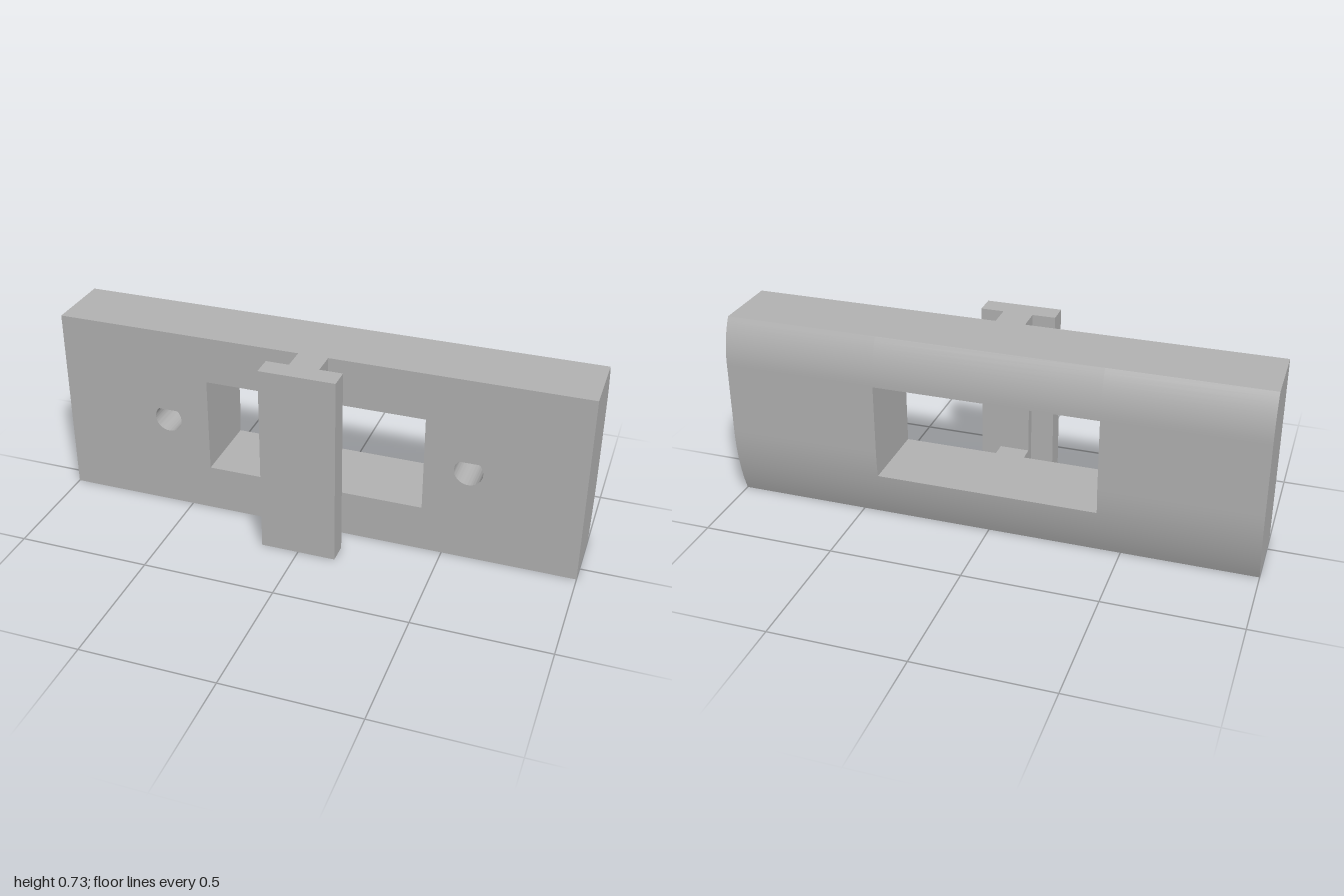
import * as THREE from 'three';
import { mergeGeometries, toCreasedNormals } from 'three/addons/utils/BufferGeometryUtils.js';

const H = 0.73, FRONT = 0.067, BACK = -0.24;
const WIN = { x: 0.418, y0: 0.18, y1: 0.55 };
const SOCKET = { x: 0.582, y: 0.366, r: 0.053, floor: -0.13 };

// Builds a geometry from convex faces, each a counter-clockwise list of corners
function facesGeometry(faces) {
  const pos = [];
  for (const f of faces)
    for (let i = 1; i < f.length - 1; i++) pos.push(...f[0], ...f[i], ...f[i + 1]);
  const g = new THREE.BufferGeometry();
  g.setAttribute('position', new THREE.Float32BufferAttribute(pos, 3));
  g.computeVertexNormals();
  return toCreasedNormals(g, 0.5);
}

// Teardrop outline: a circle with a 45 degree peak
function teardrop(Type, cx) {
  const { y, r } = SOCKET;
  const path = new Type();
  path.moveTo(cx, y + r * Math.SQRT2);
  path.absarc(cx, y, r, Math.PI * 0.75, Math.PI * 2.25, false);
  path.closePath();
  return path;
}

// Depth of the rounded back at a given height
function backZ(y) {
  if (y < 0.28) return BACK + 0.78 - Math.sqrt(0.78 ** 2 - (0.28 - y) ** 2);
  if (y > 0.56) return BACK + 0.344 - Math.sqrt(0.344 ** 2 - (y - 0.56) ** 2);
  return BACK;
}

export function createModel() {
  const model = new THREE.Group();
  const grey = new THREE.MeshStandardMaterial({ color: 0xb2b2b2 });
  grey.name = 'lightGrey';
  const add = (name, geometry) => {
    const mesh = new THREE.Mesh(geometry, grey);
    mesh.name = name;
    model.add(mesh);
  };

  // Heights at which the back is sampled, including the window edges
  const ys = [];
  for (let i = 0; i <= 14; i++) ys.push(i * 0.02);
  ys.push(WIN.y1);
  for (let i = 0; i <= 10; i++) ys.push(0.56 + i * 0.017);
  const inWindow = y => y > WIN.y0 - 1e-6 && y < WIN.y1 + 1e-6;

  // Body: rounded back, ends, top, bottom and window walls
  const faces = [];
  const cols = [-1, -WIN.x, WIN.x, 1];
  for (let i = 0; i < ys.length - 1; i++) {
    const a = ys[i], b = ys[i + 1];
    for (let c = 0; c < 3; c++) {
      if (c === 1 && inWindow(a) && inWindow(b)) continue;
      faces.push([[cols[c + 1], a, backZ(a)], [cols[c], a, backZ(a)],
        [cols[c], b, backZ(b)], [cols[c + 1], b, backZ(b)]]);
    }
  }
  const section = (x, list) => [[x, list[0], FRONT],
    ...list.map(y => [x, y, backZ(y)]), [x, list[list.length - 1], FRONT]];
  const deck = (w, y) => [[-w, y, FRONT], [w, y, FRONT], [w, y, backZ(y)], [-w, y, backZ(y)]];
  const winYs = ys.filter(inWindow);
  faces.push(
    section(1, ys), section(-1, ys).reverse(),
    deck(1, H), deck(1, 0).reverse(),
    section(-WIN.x, winYs), section(WIN.x, winYs).reverse(),
    deck(WIN.x, WIN.y0), deck(WIN.x, WIN.y1).reverse());
  add('body', facesGeometry(faces));

  // Front face with the window and two teardrop openings
  const front = new THREE.Shape([[-1, 0], [1, 0], [1, H], [-1, H]].map(p => new THREE.Vector2(...p)));
  front.holes.push(new THREE.Path([[-WIN.x, WIN.y0], [-WIN.x, WIN.y1], [WIN.x, WIN.y1], [WIN.x, WIN.y0]]
    .map(p => new THREE.Vector2(...p))));
  for (const s of [-1, 1]) front.holes.push(teardrop(THREE.Path, s * SOCKET.x));
  add('frontFace', new THREE.ShapeGeometry(front, 32).translate(0, 0, FRONT));

  // Blind teardrop sockets
  for (const s of [-1, 1]) {
    const outline = teardrop(THREE.Shape, s * SOCKET.x);
    const pts = outline.getPoints(32);
    const walls = [];
    for (let i = 0; i < pts.length - 1; i++) {
      const a = pts[i], b = pts[i + 1];
      if (a.distanceTo(b) < 1e-6) continue;
      walls.push([[a.x, a.y, FRONT], [b.x, b.y, FRONT],
        [b.x, b.y, SOCKET.floor], [a.x, a.y, SOCKET.floor]]);
    }
    const floor = new THREE.ShapeGeometry(outline, 32).translate(0, 0, SOCKET.floor).toNonIndexed();
    floor.deleteAttribute('uv');
    add(s > 0 ? 'leftSocket' : 'rightSocket', mergeGeometries([facesGeometry(walls), floor]));
  }

  // T-shaped rail: notched stem and front flange
  const stem = new THREE.Shape([[FRONT, 0], [0.16, 0], [0.16, H], [FRONT, H],
    [FRONT, WIN.y1], [0.125, WIN.y1], [0.125, WIN.y0], [FRONT, WIN.y0]].map(p => new THREE.Vector2(...p)));
  add('railStem', new THREE.ExtrudeGeometry(stem, { depth: 0.112, bevelEnabled: false })
    .rotateY(-Math.PI / 2).translate(0.056, 0, 0));
  add('railFlange', new THREE.BoxGeometry(0.284, H, 0.08).translate(0, H / 2, 0.2));

  return model;
}
